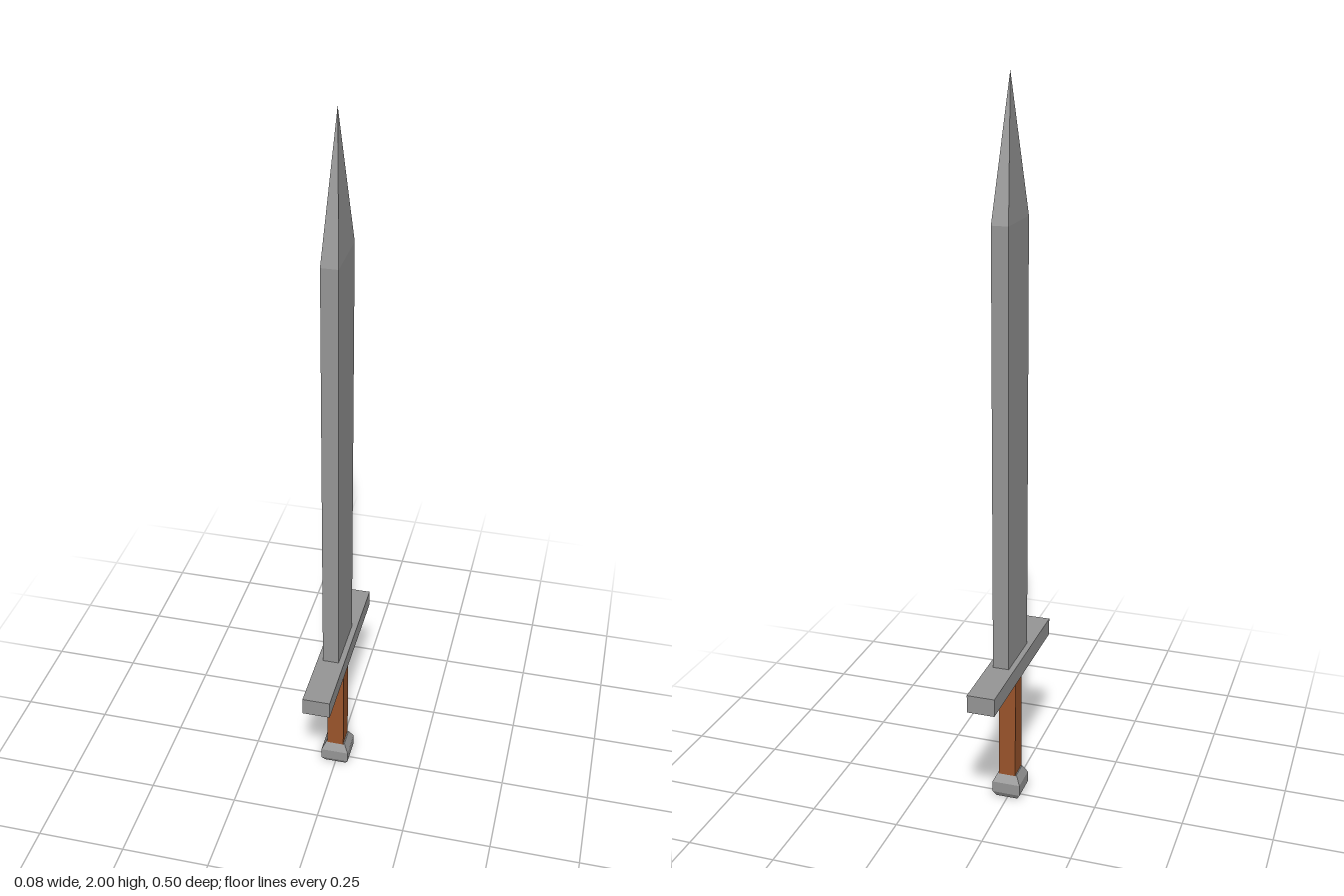
import * as THREE from 'three';

const steel = new THREE.MeshStandardMaterial({ color: 0x959595 });
steel.name = 'steel grey';
const leather = new THREE.MeshStandardMaterial({ color: 0x9a542b });
leather.name = 'brown grip';

// Four-sided faceted solid from a [half width, height] profile, listed bottom to top
function squareLathe(profile, depthRatio = 1) {
  const points = profile.map(([half, y]) => new THREE.Vector2(half * Math.SQRT2, y));
  const geometry = new THREE.LatheGeometry(points, 4, Math.PI / 4).toNonIndexed();
  geometry.scale(1, 1, depthRatio);
  geometry.computeVertexNormals();
  return geometry;
}

function box(width, bottom, top, depth) {
  return new THREE.BoxGeometry(width, top - bottom, depth).translate(0, (bottom + top) / 2, 0);
}

export function createModel() {
  const sword = new THREE.Group();
  sword.name = 'sword';
  const add = (name, geometry, material) => {
    const mesh = new THREE.Mesh(geometry, material);
    mesh.name = name;
    sword.add(mesh);
  };

  // Straight rectangular blade closing in a four-sided point
  add('blade', squareLathe([[0.0225, 0.44], [0.0225, 1.64], [0, 2]], 0.083 / 0.0225), steel);

  // Crossguard and grip
  add('crossguard', box(0.076, 0.39, 0.44, 0.502), steel);
  add('grip', box(0.048, 0.075, 0.39, 0.058), leather);

  // Square pommel with chamfered top and bottom
  add('pommel', squareLathe([[0, 0], [0.031, 0.004], [0.04, 0.02], [0.04, 0.052], [0.027, 0.078], [0, 0.078]]), steel);

  return sword;
}
